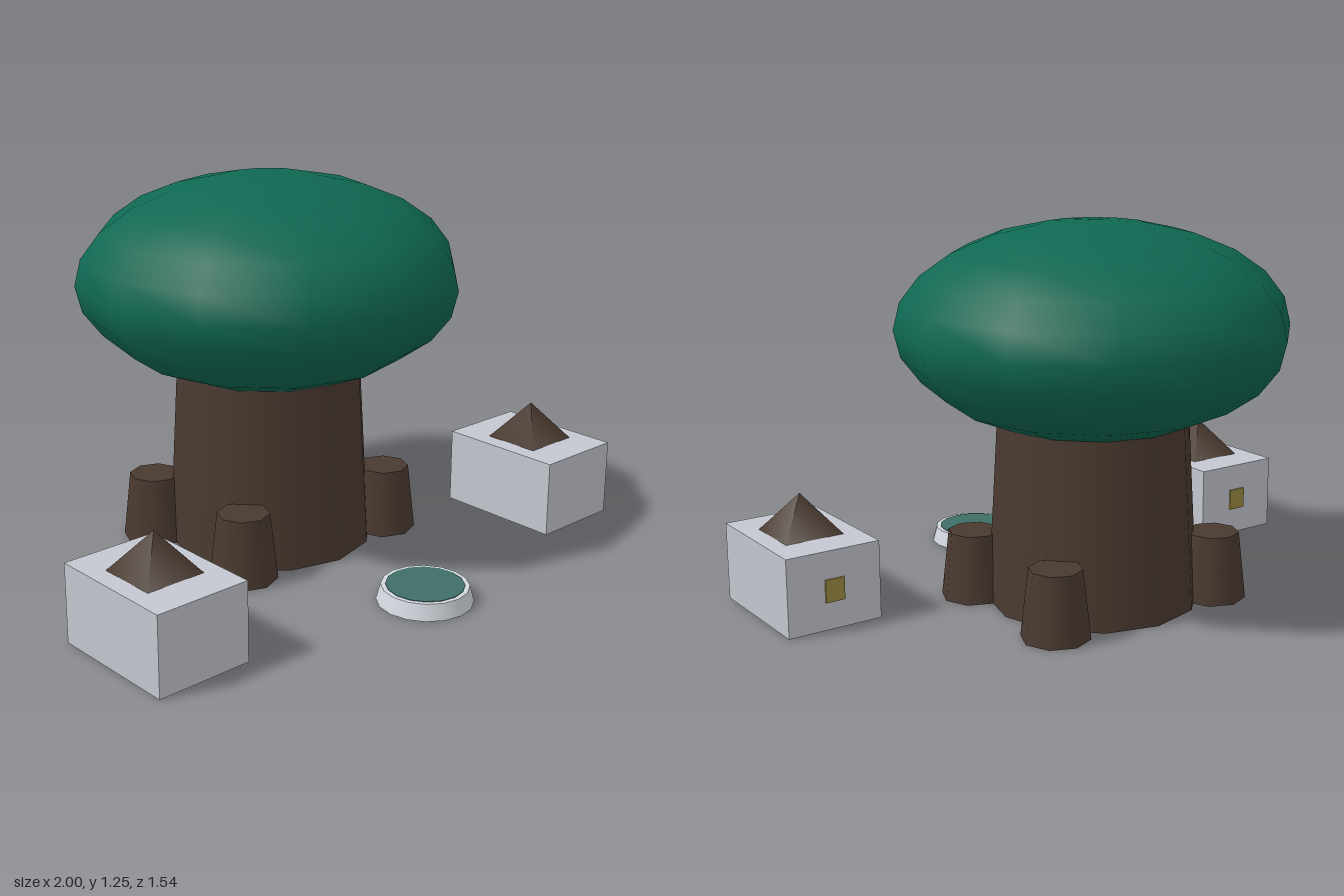
import * as THREE from 'three';

const mat = (name, color) => {
  const m = new THREE.MeshStandardMaterial({ color });
  m.name = name;
  return m;
};

export function createModel() {
  const bark = mat('bark brown', 0x4a3a30);
  const leaf = mat('leaf green', 0x0f6852);
  const stone = mat('pale stone', 0xc4c7d0);
  const rimStone = mat('basin stone', 0xd2d7de);
  const water = mat('water teal', 0x3f6e68);
  const brass = mat('brass', 0x9c8c42);

  const model = new THREE.Group();
  model.name = 'treeWithHuts';
  const add = (parent, name, geometry, material, x, y, z) => {
    const mesh = new THREE.Mesh(geometry, material);
    mesh.name = name;
    mesh.position.set(x, y, z);
    parent.add(mesh);
    return mesh;
  };

  // Tree: trunk, flattened canopy and four stub roots
  const tree = new THREE.Group();
  tree.name = 'tree';
  tree.position.z = -0.13;
  model.add(tree);
  add(tree, 'trunk', new THREE.CylinderGeometry(0.31, 0.35, 0.7, 12), bark, 0, 0.35, 0);
  const canopy = new THREE.SphereGeometry(0.642, 12, 12).scale(1, 0.345 / 0.642, 1);
  add(tree, 'canopy', canopy, leaf, 0, 0.91, 0);
  const root = new THREE.CylinderGeometry(0.086, 0.112, 0.226, 8);
  for (const sx of [-1, 1])
    for (const sz of [-1, 1])
      add(tree, 'root', root, bark, sx * 0.318, 0.113, sz * 0.235);

  // Round basin with a thin water surface
  const basin = new THREE.Group();
  basin.name = 'basin';
  basin.position.z = 0.612;
  model.add(basin);
  add(basin, 'basinBowl', new THREE.CylinderGeometry(0.141, 0.155, 0.052, 16), rimStone, 0, 0.026, 0);
  add(basin, 'waterSurface', new THREE.CylinderGeometry(0.126, 0.126, 0.004, 16), water, 0, 0.052, 0);

  // Mirrored huts, each with a pyramid roof and a back plate
  const roof = new THREE.ConeGeometry(0.143, 0.13, 4).rotateY(Math.PI / 4);
  for (const s of [-1, 1]) {
    const hut = new THREE.Group();
    hut.name = s > 0 ? 'leftHut' : 'rightHut';
    hut.position.set(s * 0.838, 0, 0.325);
    model.add(hut);
    add(hut, 'hutBlock', new THREE.BoxGeometry(0.324, 0.26, 0.45), stone, 0, 0.13, 0);
    add(hut, 'hutRoof', roof, bark, 0, 0.325, 0);
    add(hut, 'backPlate', new THREE.BoxGeometry(0.066, 0.075, 0.009), brass, 0, 0.13, -0.227);
  }
  return model;
}
